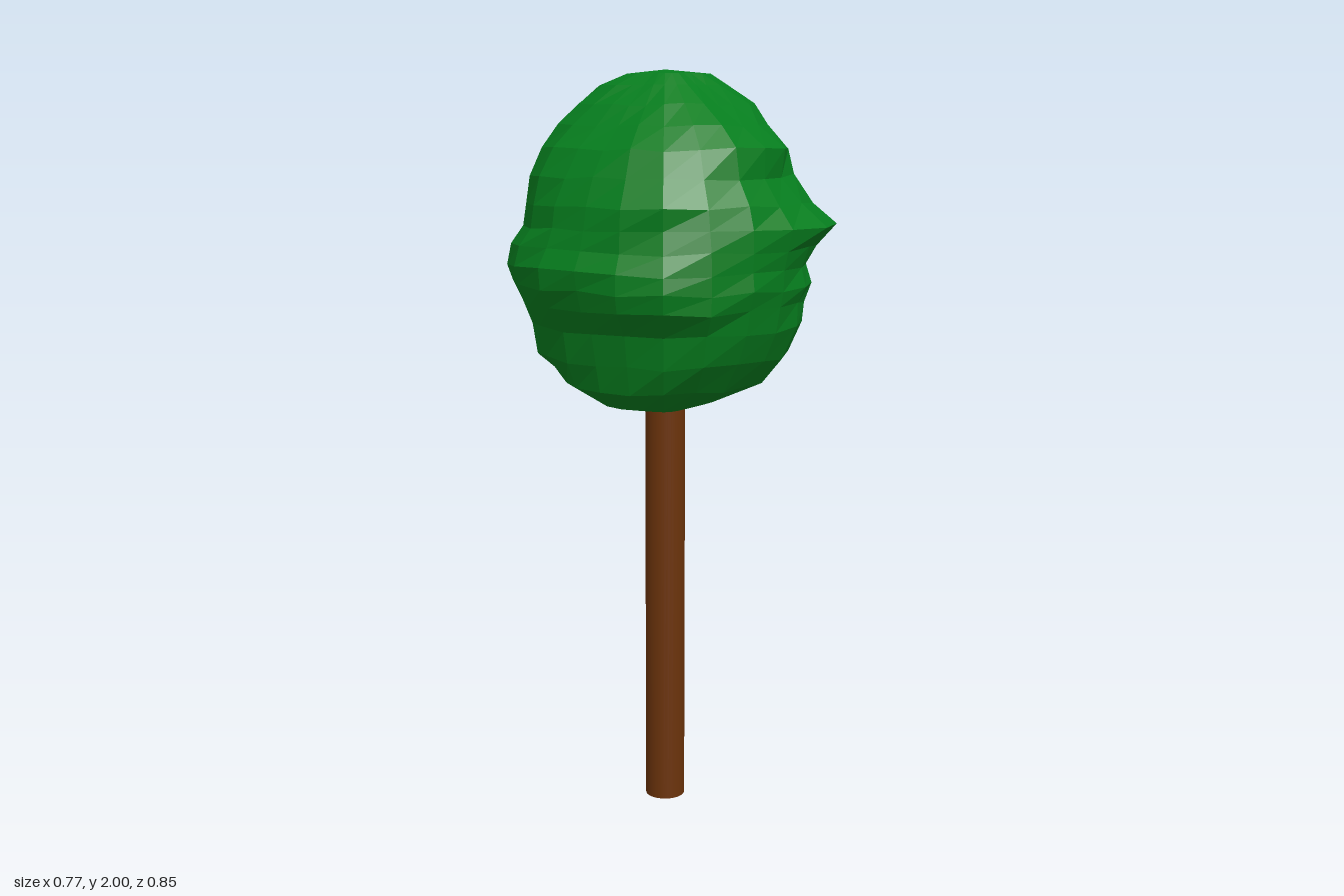
import * as THREE from 'three';

const AXIS_X = -0.02;
const SEGMENTS = 20;

// Crown cross-sections: height, then reach towards +x, +z, -x, -z
const RINGS = [
  [1.105, 0.06, 0.05, 0.06, 0.05],
  [1.13, 0.14, 0.13, 0.19, 0.12],
  [1.19, 0.26, 0.26, 0.28, 0.23],
  [1.26, 0.31, 0.32, 0.30, 0.33],
  [1.34, 0.34, 0.355, 0.31, 0.35],
  [1.40, 0.345, 0.37, 0.35, 0.37],
  [1.45, 0.355, 0.375, 0.36, 0.375],
  [1.50, 0.365, 0.38, 0.36, 0.385],
  [1.55, 0.37, 0.38, 0.35, 0.38],
  [1.60, 0.38, 0.38, 0.335, 0.375],
  [1.66, 0.375, 0.36, 0.335, 0.35],
  [1.73, 0.33, 0.325, 0.30, 0.355],
  [1.80, 0.295, 0.30, 0.26, 0.335],
  [1.86, 0.285, 0.245, 0.20, 0.30],
  [1.91, 0.27, 0.17, 0.15, 0.25],
  [1.96, 0.20, 0.10, 0.09, 0.19],
  [1.99, 0.15, 0.06, 0.05, 0.11],
];

// Fullness of the diagonals between those four directions
const DIAGONALS = [1.06, 1.03, 1.06, 0.97];

// Local swellings and hollows: angle, height, amount, angular and vertical spread
const LUMPS = [
  [66, 1.60, 0.055, 24, 0.045],
  [20, 1.60, 0.025, 22, 0.045],
  [45, 1.51, -0.03, 35, 0.035],
  [262, 1.50, 0.05, 30, 0.05],
  [205, 1.50, 0.025, 28, 0.06],
  [150, 1.44, 0.025, 28, 0.06],
  [80, 1.80, 0.02, 28, 0.03],
  [80, 1.73, -0.02, 30, 0.03],
  [60, 1.37, -0.015, 35, 0.03],
];

function seededRandom(seed) {
  return () => {
    seed = (seed * 16807) % 2147483647;
    return seed / 2147483647;
  };
}

// Radius of one ring at an angle, blended smoothly round the four reaches
function reach(ring, angle) {
  const quarter = (angle / (Math.PI * 2)) * 4;
  const k = Math.floor(quarter) % 4;
  const t = (1 - Math.cos((quarter - Math.floor(quarter)) * Math.PI)) / 2;
  const radius = THREE.MathUtils.lerp(ring[1 + k], ring[1 + ((k + 1) % 4)], t);
  return radius * (1 + (DIAGONALS[k] - 1) * 4 * t * (1 - t));
}

// Sum of the lumps at an angle and height
function lumpiness(angle, height) {
  return LUMPS.reduce((sum, [degrees, y, amount, spread, rise]) => {
    const turn = THREE.MathUtils.euclideanModulo(THREE.MathUtils.radToDeg(angle) - degrees + 180, 360) - 180;
    return sum + amount * Math.exp(-((turn / spread) ** 2) - ((height - y) / rise) ** 2);
  }, 0);
}

function crownGeometry() {
  const random = seededRandom(41);
  const positions = [];
  const index = [];
  RINGS.forEach((ring, i) => {
    const rough = i > 1 && i < RINGS.length - 2 ? 1 : 0;
    for (let j = 0; j < SEGMENTS; j++) {
      const angle = (j / SEGMENTS) * Math.PI * 2;
      const ripple = 0.01 * Math.sin(3 * angle + i * 2.6) + 0.026 * (random() - 0.5);
      const radius = reach(ring, angle) * (1 + rough * ripple) + lumpiness(angle, ring[0]);
      const lift = rough * 0.012 * (random() - 0.5);
      positions.push(AXIS_X + radius * Math.cos(angle), ring[0] + lift, radius * Math.sin(angle));
    }
  });
  const bottom = positions.length / 3;
  positions.push(AXIS_X, 1.1, 0, AXIS_X, 2, 0);
  const last = (RINGS.length - 1) * SEGMENTS;
  for (let j = 0; j < SEGMENTS; j++) {
    const n = (j + 1) % SEGMENTS;
    for (let i = 0; i < RINGS.length - 1; i++) {
      const a = i * SEGMENTS + j;
      const b = i * SEGMENTS + n;
      index.push(a, a + SEGMENTS, b, b, a + SEGMENTS, b + SEGMENTS);
    }
    index.push(bottom, j, n, bottom + 1, last + n, last + j);
  }
  const geometry = new THREE.BufferGeometry();
  geometry.setAttribute('position', new THREE.Float32BufferAttribute(positions, 3));
  geometry.setIndex(index);
  // Unshared corners give every facet its own flat normal
  const faceted = geometry.toNonIndexed();
  faceted.computeVertexNormals();
  return faceted;
}

export function createModel() {
  const leafGreen = new THREE.MeshStandardMaterial({ color: 0x067d1e });
  leafGreen.name = 'leafGreen';
  const barkBrown = new THREE.MeshStandardMaterial({ color: 0x6b330b });
  barkBrown.name = 'barkBrown';

  const tree = new THREE.Group();
  tree.name = 'tree';

  // Straight round trunk, ending just inside the crown
  const trunk = new THREE.Mesh(new THREE.CylinderGeometry(0.054, 0.054, 1.2, 32), barkBrown);
  trunk.name = 'trunk';
  trunk.position.set(AXIS_X, 0.6, 0);
  tree.add(trunk);

  // Lumpy faceted crown
  const crown = new THREE.Mesh(crownGeometry(), leafGreen);
  crown.name = 'crown';
  tree.add(crown);

  return tree;
}
